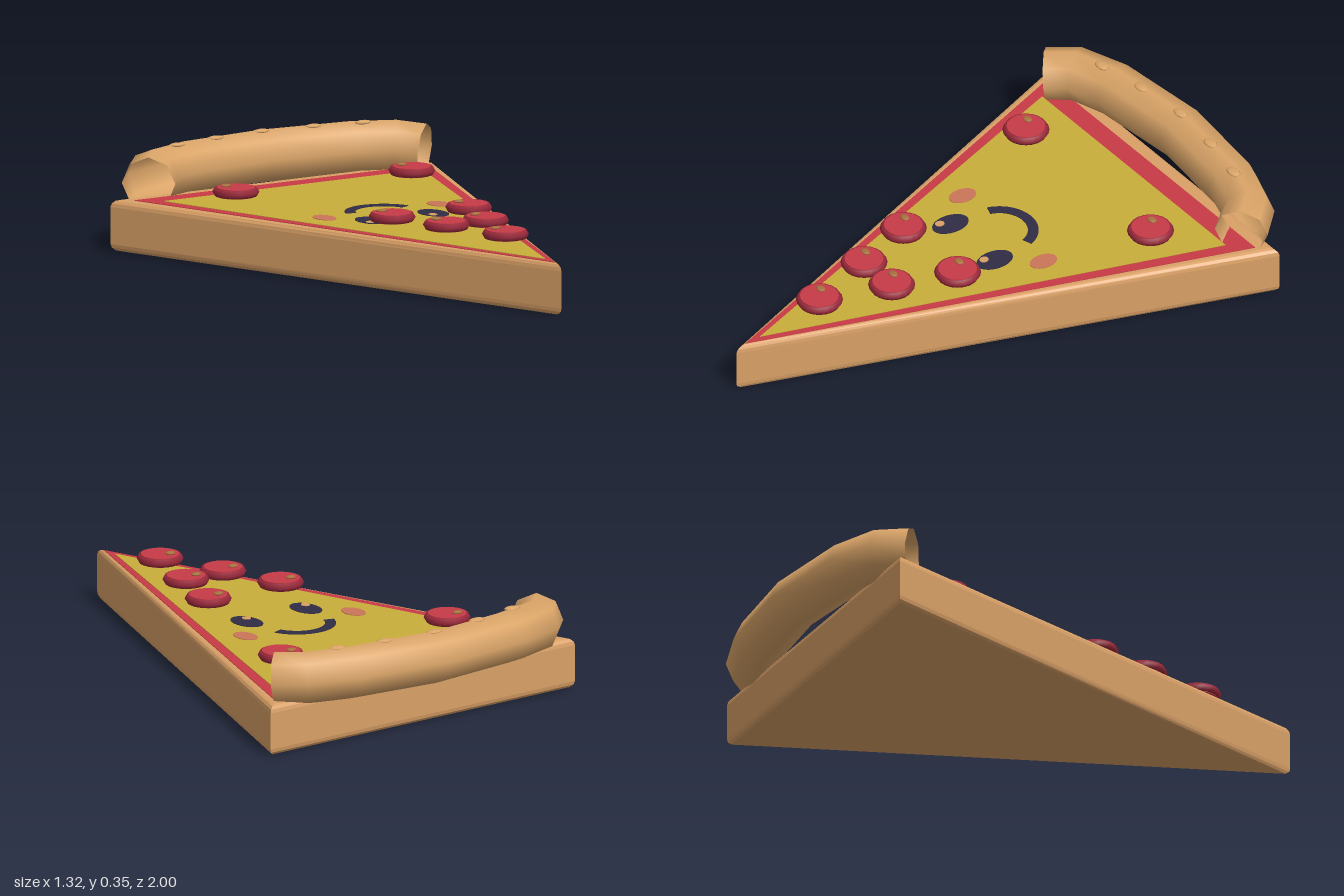
import * as THREE from 'three';

const material = (name, color, side = THREE.FrontSide) => {
  const m = new THREE.MeshStandardMaterial({ color, side });
  m.name = name;
  return m;
};

export function createModel() {
  const group = new THREE.Group();
  group.name = 'pizzaSlice';

  const dough = material('dough tan', 0xd9a066);
  const crustMat = material('crust tan', 0xdba568, THREE.DoubleSide);
  const sauce = material('sauce red', 0xc83a46);
  const cheese = material('cheese yellow', 0xc9ae3a);
  const meat = material('pepperoni red', 0xc73b47);
  const rimMat = material('pepperoni rim red', 0x98283a);
  const spot = material('spot brown', 0xa9703f);
  const ink = material('face navy', 0x2f2c46);
  const blush = material('blush pink', 0xcb7558);

  const add = (name, geometry, mat, x = 0, y = 0, z = 0, parent = group) => {
    const mesh = new THREE.Mesh(geometry, mat);
    mesh.name = name;
    mesh.position.set(x, y, z);
    parent.add(mesh);
    return mesh;
  };

  // Shapes are drawn in (x, z) and laid flat, with their top at y = top
  const flat = (shape, top, depth, options = {}) =>
    new THREE.ExtrudeGeometry(shape, { depth, bevelEnabled: false, curveSegments: 12, ...options })
      .rotateX(Math.PI / 2)
      .translate(0, top, 0);
  const triangle = (halfWidth, back, tip) =>
    new THREE.Shape([[-halfWidth, back], [halfWidth, back], [0, tip]].map(([x, z]) => new THREE.Vector2(x, z)));
  const ellipse = (rx, rz) => new THREE.Shape().absellipse(0, 0, rx, rz, 0, Math.PI * 2);

  // Dough wedge with softened edges, then sauce and cheese sheets
  add('doughBase', flat(triangle(0.631, -0.815, 0.965), 0.155, 0.13, {
    bevelEnabled: true, bevelSize: 0.025, bevelThickness: 0.025, bevelSegments: 3,
  }), dough);
  add('sauceLayer', flat(triangle(0.6, -0.775, 0.96), 0.182, 0.003), sauce);
  add('cheeseLayer', flat(triangle(0.53, -0.7, 0.9), 0.184, 0.003), cheese);

  // Rolled crust: an open tube with one ring at each path point
  const half = [[0.34, 0.253, -0.871], [0.495, 0.25, -0.82], [0.565, 0.242, -0.741]];
  const path = [
    ...half.map(([x, y, z]) => new THREE.Vector3(-x, y, z)).reverse(),
    new THREE.Vector3(0, 0.253, -0.907),
    ...half.map((p) => new THREE.Vector3(...p)),
  ];
  const curve = new THREE.CatmullRomCurve3(path);
  curve.getUtoTmapping = (u) => u;
  add('crust', new THREE.TubeGeometry(curve, path.length - 1, 0.093, 8), crustMat);

  // Small blisters along the top of the crust
  for (const [x, z] of [[-0.38, -0.845], [-0.2, -0.88], [0, -0.9], [0.2, -0.88], [0.38, -0.845]]) {
    add('crustBlister', new THREE.SphereGeometry(1, 10, 6).scale(0.032, 0.007, 0.02), crustMat, x, 0.342, z);
  }

  // Pepperoni: disc, rounded rim and a small spot
  const disc = new THREE.CylinderGeometry(0.067, 0.067, 0.032, 20);
  const rim = new THREE.TorusGeometry(0.065, 0.016, 6, 20).rotateX(Math.PI / 2);
  const speck = new THREE.SphereGeometry(1, 10, 6).scale(0.02, 0.006, 0.015);
  const places = [[0.36, -0.505], [0.157, 0.17], [0.08, 0.395]];
  for (const [x, z] of [...places, ...places.map(([x, z]) => [-x, z]), [0, 0.645]]) {
    const slice = new THREE.Group();
    slice.name = 'pepperoni';
    slice.position.set(x, 0.231, z);
    add('pepperoniDisc', disc, meat, 0, 0, 0, slice);
    add('pepperoniRim', rim, rimMat, 0, 0, 0, slice);
    add('pepperoniSpot', speck, spot, -0.025, 0.019, -0.025, slice);
    group.add(slice);
  }

  // Face: eyes with glints, cheeks and a curved mouth
  for (const side of [-1, 1]) {
    add('eye', flat(ellipse(0.047, 0.07), 0.186, 0.003), ink, side * 0.128, 0, -0.01);
    add('eyeGlint', flat(ellipse(0.015, 0.017), 0.188, 0.003), dough, side * 0.128 - 0.021, 0, 0.02);
    add('cheek', flat(ellipse(0.036, 0.052), 0.186, 0.003), blush, side * 0.234, 0, -0.14);
  }
  const mouth = new THREE.Shape();
  mouth.absarc(0, 0, 0.135, -Math.PI * 0.9, -Math.PI * 0.1, false);
  mouth.absarc(0, 0, 0.098, -Math.PI * 0.1, -Math.PI * 0.9, true);
  add('mouth', flat(mouth, 0.186, 0.003), ink, 0, 0, -0.125);

  return group;
}
